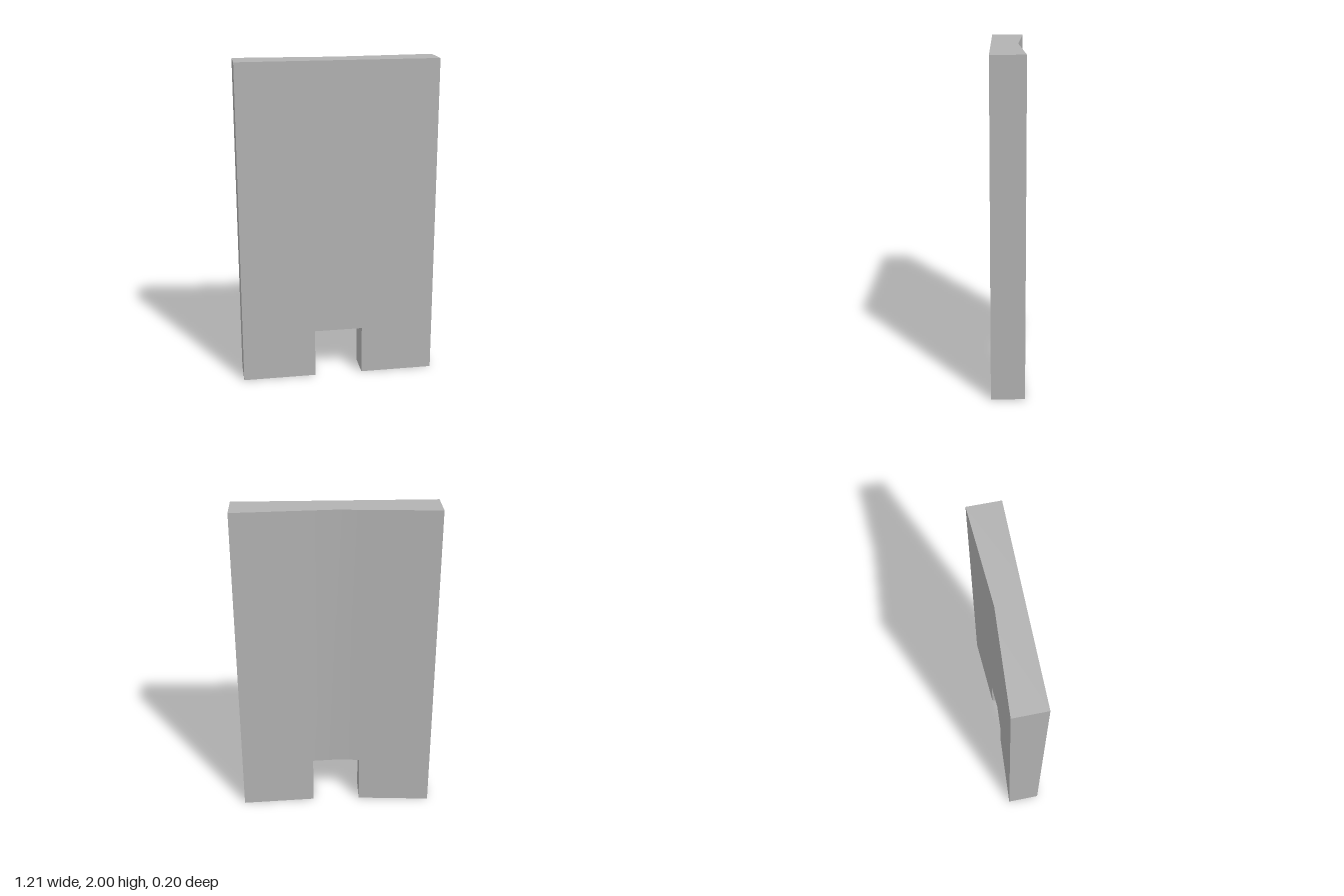
import * as THREE from 'three';
import { toCreasedNormals } from 'three/addons/utils/BufferGeometryUtils.js';

const XS = [-0.605, -0.15, 0, 0.15, 0.605];
const YS = [0, 0.305, 2];
const FRONT = 0.1;

// Back surface is a shallow V, thinnest along the centre line
const backZ = (x) => -0.0625 - 0.0375 * Math.abs(x) / 0.605;

// Grid cells that hold material; the two lower middle cells are the notch
const solid = (i, j) =>
  i >= 0 && i < 4 && j >= 0 && j < 2 && !(j === 0 && (i === 1 || i === 2));

function panelGeometry() {
  const pos = [];
  const quad = (a, b, c, d) => pos.push(...a, ...b, ...c, ...a, ...c, ...d);
  for (let i = 0; i < 4; i++) {
    for (let j = 0; j < 2; j++) {
      if (!solid(i, j)) continue;
      const f = (di, dj) => [XS[i + di], YS[j + dj], FRONT];
      const b = (di, dj) => [XS[i + di], YS[j + dj], backZ(XS[i + di])];
      quad(f(0, 0), f(1, 0), f(1, 1), f(0, 1)); // front
      quad(b(1, 0), b(0, 0), b(0, 1), b(1, 1)); // back
      if (!solid(i - 1, j)) quad(b(0, 0), f(0, 0), f(0, 1), b(0, 1));
      if (!solid(i + 1, j)) quad(f(1, 0), b(1, 0), b(1, 1), f(1, 1));
      if (!solid(i, j - 1)) quad(b(0, 0), b(1, 0), f(1, 0), f(0, 0));
      if (!solid(i, j + 1)) quad(f(0, 1), f(1, 1), b(1, 1), b(0, 1));
    }
  }
  const geometry = new THREE.BufferGeometry();
  geometry.setAttribute('position', new THREE.Float32BufferAttribute(pos, 3));
  return toCreasedNormals(geometry, 0.5);
}

export function createModel() {
  const grey = new THREE.MeshStandardMaterial({ color: 0xb2b2b2 });
  grey.name = 'grey';

  const panel = new THREE.Mesh(panelGeometry(), grey);
  panel.name = 'notchedPanel';

  const group = new THREE.Group();
  group.name = 'panelModel';
  group.add(panel);
  return group;
}
